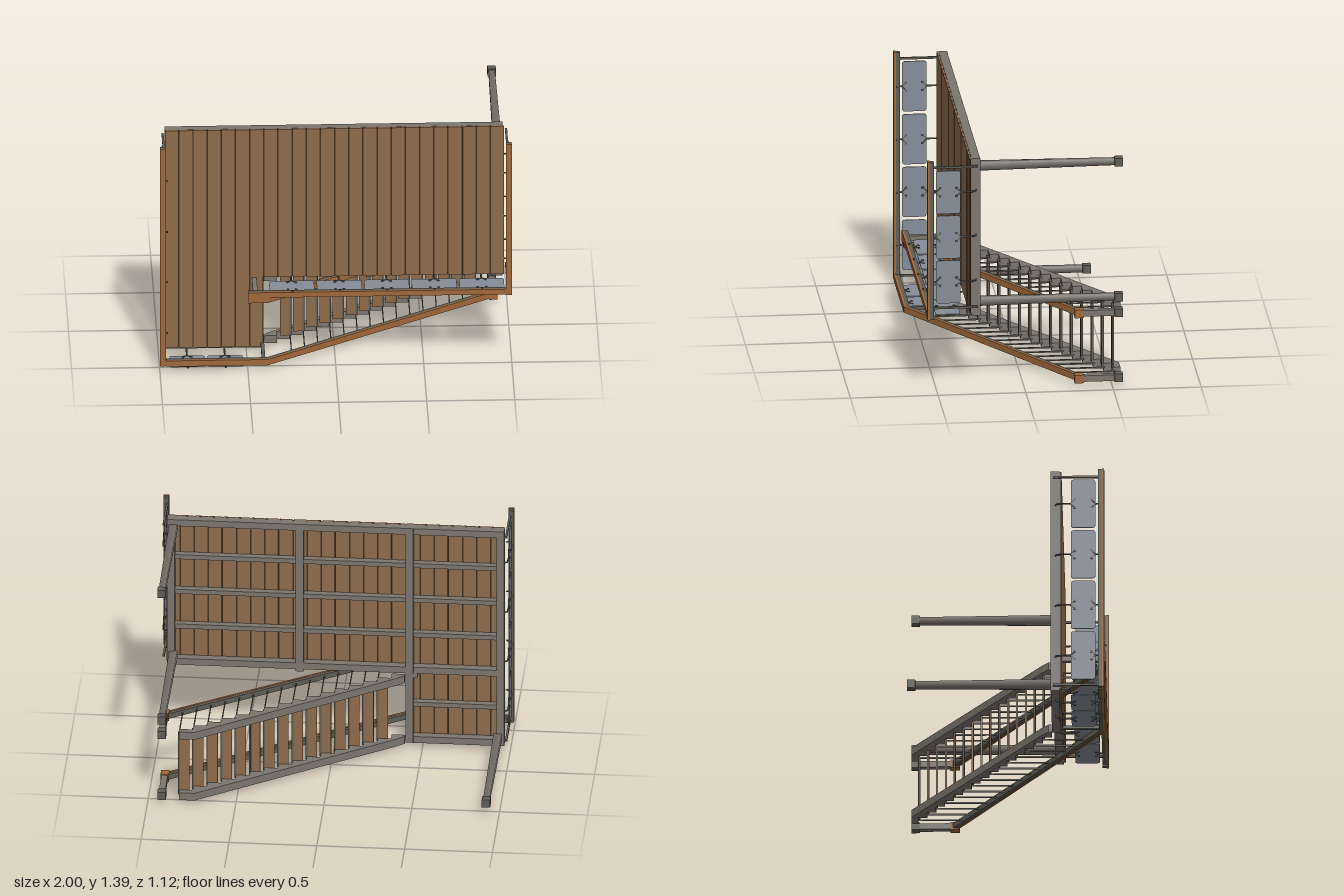
import * as THREE from 'three';

const mat = (name, color, extra = {}) => Object.assign(new THREE.MeshStandardMaterial({ color, ...extra }), { name });

export function createModel() {
  const model = new THREE.Group();
  model.name = 'deckWithStairs';
  const decking = mat('decking brown', 0x8e6b4b);
  const railWood = mat('rail brown', 0xa0683a);
  const timber = mat('grey timber', 0x7c776f);
  const dark = mat('dark grey', 0x5f5e55);
  const panelMat = mat('panel blue grey', 0x868d98);
  const seam = mat('seam brown', 0x3c2e22);

  const group = (name, parent = model) => {
    const g = new THREE.Group();
    g.name = name;
    parent.add(g);
    return g;
  };
  // Box from ranges along each axis
  const box = (parent, name, m, x0, x1, y0, y1, z0, z1) => {
    const mesh = new THREE.Mesh(new THREE.BoxGeometry(x1 - x0, y1 - y0, z1 - z0), m);
    mesh.position.set((x0 + x1) / 2, (y0 + y1) / 2, (z0 + z1) / 2);
    mesh.name = name;
    parent.add(mesh);
    return mesh;
  };

  // Deck boards, shorter above the stairs, with dark seams between
  const deck = group('deckBoards');
  const pitch = 1.93 / 24;
  for (let i = 0; i < 24; i++) {
    const x = -0.965 + i * pitch;
    const low = x < -0.48 ? 0.04 : 0.475;
    box(deck, 'deckBoard', decking, x + 0.004, x + pitch - 0.004, low, 1.4, 0.305, 0.317);
  }
  box(deck, 'seamLong', seam, -0.963, -0.46, 0.042, 1.398, 0.309, 0.313);
  box(deck, 'seamShort', seam, -0.46, 0.963, 0.477, 1.398, 0.309, 0.313);

  // Supporting frame under the boards
  const frame = group('frame');
  for (const [x, low] of [[-0.943, 0.03], [-0.425, 0.03], [0.2, 0.46], [0.933, 0.46]])
    box(frame, 'crossBeam', timber, x - 0.022, x + 0.022, low, 1.4, 0.255, 0.305);
  for (let i = 0; i < 7; i++) {
    const y = 1.38 - i * 0.2217, edge = i === 0 || i === 4 || i === 6;
    const h = edge ? 0.02 : 0.014;
    box(frame, 'joist', timber, -0.96, i > 4 ? -0.41 : 0.95, y - h, y + h, edge ? 0.256 : 0.265, 0.304);
  }

  // Tapered legs with square feet
  const foot = (parent, x, y) => box(parent, 'foot', dark, x - 0.024, x + 0.024, y - 0.024, y + 0.024, -0.56, -0.513);
  for (const [x, y] of [[0.92, 1.347], [0.92, 0.537], [-0.927, 0.085]]) {
    const leg = group('leg');
    const geo = new THREE.CylinderGeometry(0.033, 0.025, 0.78, 4, 1).rotateY(Math.PI / 4).rotateX(Math.PI / 2);
    const shaft = new THREE.Mesh(geo, timber);
    shaft.name = 'legShaft';
    shaft.position.set(x, y, -0.13);
    leg.add(shaft);
    foot(leg, x, y);
  }

  // Flat top rails: brown cap over a grey board
  const rails = group('topRails');
  const flatRail = (x0, x1, y0, y1) => {
    box(rails, 'railCap', railWood, x0, x1, y0, y1, 0.547, 0.56);
    box(rails, 'railBoard', dark, x0 + 0.002, x1 - 0.002, y0 + 0.002, y1 - 0.002, 0.524, 0.547);
  };
  flatRail(-1, -0.965, 0.04, 1.4);
  flatRail(0.965, 1, 0.455, 1.4);
  flatRail(-0.965, -0.385, 0.037, 0.073);
  flatRail(-0.5, 0.965, 0.46, 0.492);
  flatRail(-0.5, -0.385, 0.427, 0.46);
  for (const [x, y] of [[-0.975, 1.36], [0.975, 1.36], [0.975, 0.52], [-0.975, 0.06]])
    box(rails, 'railPost', dark, x - 0.006, x + 0.006, y - 0.006, y + 0.006, 0.27, 0.53);
  box(rails, 'stairHeadPost', timber, -0.47, -0.443, 0.445, 0.475, 0.255, 0.53);
  box(rails, 'stairHeadPostLow', dark, -0.42, -0.40, 0.045, 0.065, 0.255, 0.53);

  // Railing panels with bent stub posts and forked clips; local -y points outward
  const panelRow = (name, centres, length, px, py, turn) => {
    const row = group(name);
    row.position.set(px, py, 0);
    row.rotation.z = turn;
    const w = length / 2, r = 0.018;
    const s = new THREE.Shape();
    s.moveTo(-w + r, 0.37).lineTo(w - r, 0.37).quadraticCurveTo(w, 0.37, w, 0.37 + r)
      .lineTo(w, 0.51 - r).quadraticCurveTo(w, 0.51, w - r, 0.51)
      .lineTo(-w + r, 0.51).quadraticCurveTo(-w, 0.51, -w, 0.51 - r)
      .lineTo(-w, 0.37 + r).quadraticCurveTo(-w, 0.37, -w + r, 0.37);
    const panelGeo = new THREE.ExtrudeGeometry(s, { depth: 0.006, bevelEnabled: false, curveSegments: 4 })
      .rotateX(Math.PI / 2).translate(0, 0.003, 0);
    const stub = pts => new THREE.TubeGeometry(
      new THREE.CatmullRomCurve3(pts.map(p => new THREE.Vector3(...p))), 8, 0.005, 6);
    const low = stub([[0, 0.028, 0.28], [0, 0.004, 0.29], [0, 0, 0.31], [0, 0, 0.372]]);
    const high = stub([[0, 0, 0.505], [0, 0, 0.525], [0, 0.008, 0.54], [0, 0.028, 0.543]]);
    for (const c of centres) {
      const unit = group('panelUnit', row);
      unit.position.x = c;
      for (const [n, g, m] of [['panel', panelGeo, panelMat], ['lowerPost', low, dark], ['upperPost', high, dark]]) {
        const mesh = new THREE.Mesh(g, m);
        mesh.name = n;
        unit.add(mesh);
      }
      for (const side of [-1, 1])
        for (const [z, dir] of [[0.38, 1], [0.5, -1]]) {
          const arm = box(unit, 'clipArm', dark, -0.003, 0.003, -0.006, 0.006, -0.016, 0.016);
          arm.position.set(side * 0.012, 0, z);
          arm.rotation.y = side * dir * 0.8;
          box(unit, 'clipHead', dark, side * 0.024 - 0.006, side * 0.024 + 0.006, -0.007, 0.007,
            z + dir * 0.012 - 0.006, z + dir * 0.012 + 0.006);
        }
    }
  };
  panelRow('frontPanels', [-0.84, -0.625], 0.2, 0, 0.012, 0);
  panelRow('stairSidePanels', [0, 1, 2, 3, 4].map(i => -0.247 + i * 0.2695), 0.255, 0, 0.472, 0);
  panelRow('leftPanels', [1.213, 0.945, 0.677], 0.256, 0.982, 0, Math.PI / 2);
  panelRow('rightPanels', [-1.19, -0.873, -0.557, -0.24], 0.3, -0.982, 0, -Math.PI / 2);

  // Stairs: notched stringers, treads with grey nosings
  const stairs = group('stairs');
  const steps = 15, run = 0.0765, rise = 0.0515;
  const stepX = i => -0.325 + run * i, stepZ = i => 0.212 - rise * i;
  const profile = new THREE.Shape();
  profile.moveTo(-0.4, 0.255).lineTo(-0.4, 0.235).lineTo(-0.36, 0.2).lineTo(0.733, -0.557).lineTo(0.82, -0.557);
  for (let i = steps - 1; i >= 0; i--)
    profile.lineTo(stepX(i + 1), stepZ(i) - 0.01).lineTo(stepX(i), stepZ(i) - 0.01);
  profile.lineTo(-0.325, 0.255);
  const stringerGeo = new THREE.ExtrudeGeometry(profile, { depth: 0.046, bevelEnabled: false }).rotateX(Math.PI / 2);
  for (const y of [0.079, 0.468]) {
    const stringer = new THREE.Mesh(stringerGeo, timber);
    stringer.name = 'stringer';
    stringer.position.y = y;
    stairs.add(stringer);
  }
  for (let i = 0; i < steps; i++) {
    const x1 = stepX(i + 1), z = stepZ(i);
    box(stairs, 'tread', decking, x1 - 0.058, x1 - 0.004, 0.06, 0.445, z - 0.01, z);
    box(stairs, 'nosing', dark, x1 - 0.004, x1 + 0.007, 0.06, 0.445, z - 0.012, z + 0.001);
  }

  // Sloped handrails with spindles and newel posts
  const top = { x: -0.39, z: 0.542 }, end = { x: 0.92, z: -0.32 };
  const slope = (end.z - top.z) / (end.x - top.x);
  const len = Math.hypot(end.x - top.x, end.z - top.z);
  for (const y of [0.055, 0.445]) {
    const rail = group('handrail');
    const bar = group('handrailBar', rail);
    bar.position.set(top.x, y, top.z);
    bar.rotation.y = -Math.atan(slope);
    box(bar, 'handrailCap', railWood, -0.005, len, -0.018, 0.018, 0.004, 0.016);
    box(bar, 'handrailBoard', dark, -0.005, len, -0.016, 0.016, -0.016, 0.004);
    for (let i = 0; i < steps; i++) {
      const x = stepX(i + 1);
      box(rail, 'spindle', dark, x - 0.003, x + 0.003, y - 0.004, y + 0.004, stepZ(i) - 0.02, top.z + slope * (x - top.x));
    }
    box(rail, 'newelPost', timber, 0.902, 0.938, y - 0.018, y + 0.018, -0.515, -0.335);
    box(rail, 'newelCap', railWood, 0.896, 0.944, y - 0.024, y + 0.024, -0.338, -0.285);
    foot(rail, 0.92, y);
  }
  return model;
}
